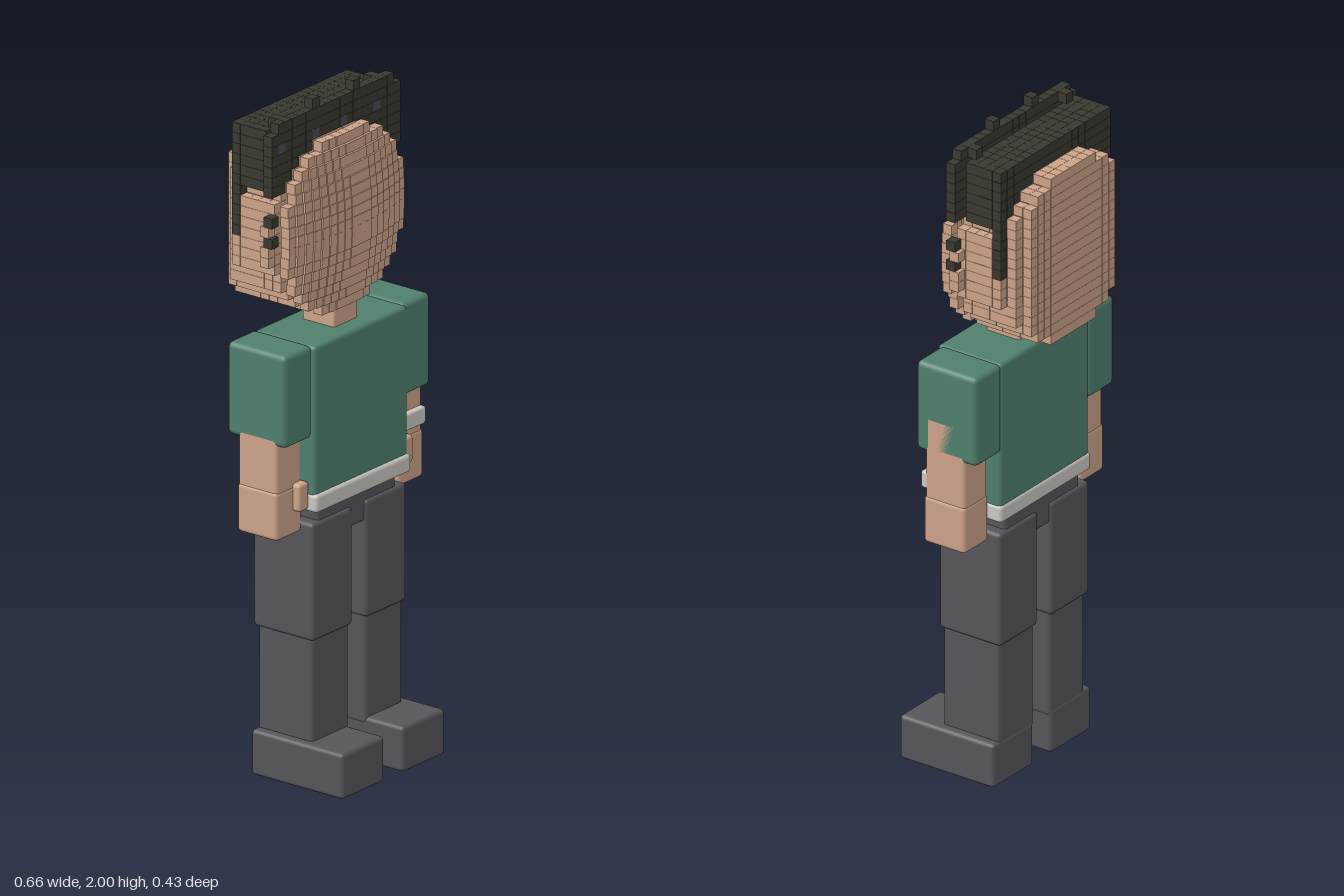
import * as THREE from 'three';
import { RoundedBoxGeometry } from 'three/addons/geometries/RoundedBoxGeometry.js';
import { mergeGeometries } from 'three/addons/utils/BufferGeometryUtils.js';

const material = (name, color) => {
  const m = new THREE.MeshStandardMaterial({ color });
  m.name = name;
  return m;
};

const P = 0.0303; // voxel pitch of the head
const MID_ROW = 12; // row through the centre of the face

export function createModel() {
  const skin = material('skin', 0xcda389);
  const green = material('shirt green', 0x507f6e);
  const charcoal = material('trouser charcoal', 0x56555a);
  const black = material('hair black', 0x383930);
  const slate = material('hair slate', 0x4a4a54);
  const white = material('off white', 0xcbc8c1);

  const figure = new THREE.Group();
  figure.name = 'figure';

  // Bevelled block given by its minimum and maximum corners
  const block = (name, mat, [x0, x1], [y0, y1], [z0, z1], r = 0.012) => {
    const geo = new RoundedBoxGeometry(x1 - x0, y1 - y0, z1 - z0, 2, r);
    const mesh = new THREE.Mesh(geo, mat);
    mesh.position.set((x0 + x1) / 2, (y0 + y1) / 2, (z0 + z1) / 2);
    mesh.name = name;
    figure.add(mesh);
  };
  const pair = (name, mat, [x0, x1], y, z, r) => {
    block('left' + name, mat, [x0, x1], y, z, r);
    block('right' + name, mat, [-x1, -x0], y, z, r);
  };

  // Legs and shoes
  pair('Shoe', charcoal, [0.04, 0.23], [0, 0.135], [-0.11, 0.215]);
  pair('LowerLeg', charcoal, [0.037, 0.202], [0.115, 0.445], [-0.108, 0.086]);
  pair('UpperLeg', charcoal, [0.03, 0.21], [0.435, 0.785], [-0.118, 0.094]);
  block('hips', charcoal, [-0.175, 0.175], [0.72, 0.83], [-0.11, 0.085]);

  // Torso, hem and neck
  block('shirtHem', white, [-0.212, 0.212], [0.82, 0.875], [-0.123, 0.11]);
  block('shirt', green, [-0.208, 0.208], [0.86, 1.313], [-0.118, 0.1]);
  block('neck', skin, [-0.053, 0.053], [1.29, 1.385], [-0.068, 0.045], 0.006);

  // Arms
  pair('Sleeve', green, [0.202, 0.325], [1.04, 1.315], [-0.12, 0.088], 0.016);
  pair('Forearm', skin, [0.217, 0.325], [0.89, 1.155], [-0.08, 0.058]);
  pair('Hand', skin, [0.215, 0.328], [0.76, 0.905], [-0.082, 0.06]);
  pair('Thumb', skin, [0.21, 0.255], [0.83, 0.912], [0.03, 0.083], 0.01);
  block('wristWatch', white, [0.213, 0.322], [0.923, 0.975], [0.03, 0.075], 0.008);

  // Voxel lists, merged into one mesh per part
  const lists = { face: [], headBack: [], ears: [], hair: [], hairFlecks: [] };
  const voxel = (list, col, row, z) => {
    const g = new THREE.BoxGeometry(P * 0.98, P * 0.98, P * 0.98);
    lists[list].push(g.translate(col * P, 2 - P * (row + 0.5), z));
  };
  const inDisc = (c, r) => c * c + (r - MID_ROW) ** 2 <= 75;

  // Domed face
  for (let r = 4; r <= 20; r++) {
    for (let c = -8; c <= 8; c++) {
      if (!inDisc(c, r)) continue;
      const d2 = c * c + (r - MID_ROW) ** 2;
      voxel('face', c, r, 0.065 - 0.035 * d2 / 72);
    }
  }

  // Back of the head in seven layers, with hair filling the upper corners
  const halfWidth = [6, 7, 8, 8, 8, 8, 8];
  halfWidth.forEach((w, k) => {
    const z = -0.201 + P * k;
    const solid = (c, r) => Math.abs(c) <= w && inDisc(c, r);
    const hairy = k >= 2 && k <= 5;
    for (let r = 2; r <= 20; r++) {
      for (let c = -8; c <= 8; c++) {
        const strand = k === 2 && Math.abs(c) === 8 && r >= 8 && r <= 12;
        if (strand || (hairy && r <= 7 && !solid(c, r))) {
          voxel('hair', c, r, z);
        } else if (solid(c, r)) {
          const rim = !(solid(c - 1, r) && solid(c + 1, r) && solid(c, r - 1) && solid(c, r + 1));
          const exposed = k === 0 || k === 6 || Math.abs(c) > halfWidth[k - 1];
          if (rim || exposed) voxel('headBack', c, r, z);
        }
      }
    }
  });

  // Fringe plate around the face, with a few lighter flecks
  for (let r = 1; r <= 7; r++) {
    const w = r === 1 ? 8 : 9;
    for (let c = -w; c <= w; c++) {
      if (inDisc(c, r)) continue;
      const fleck = (c * c * 7 + c * 5 + r * 11 + 900) % 9 === 0;
      voxel(fleck ? 'hairFlecks' : 'hair', c, r, -0.004);
    }
  }

  // Tufts, ears and sideburn dots
  for (const s of [-1, 1]) {
    voxel('hair', 3 * s, 0, -0.004);
    voxel('hair', 7 * s, 1, -0.034);
    for (let r = 10; r <= 14; r++) {
      const dot = r === 10 || r === 12;
      voxel(dot ? 'hair' : 'ears', 9 * s, r, dot ? -0.004 : -0.016);
    }
  }

  const mats = { face: skin, headBack: skin, ears: skin, hair: black, hairFlecks: slate };
  const head = new THREE.Group();
  head.name = 'head';
  for (const [name, geos] of Object.entries(lists)) {
    const mesh = new THREE.Mesh(mergeGeometries(geos), mats[name]);
    mesh.name = name;
    head.add(mesh);
  }
  figure.add(head);
  return figure;
}
